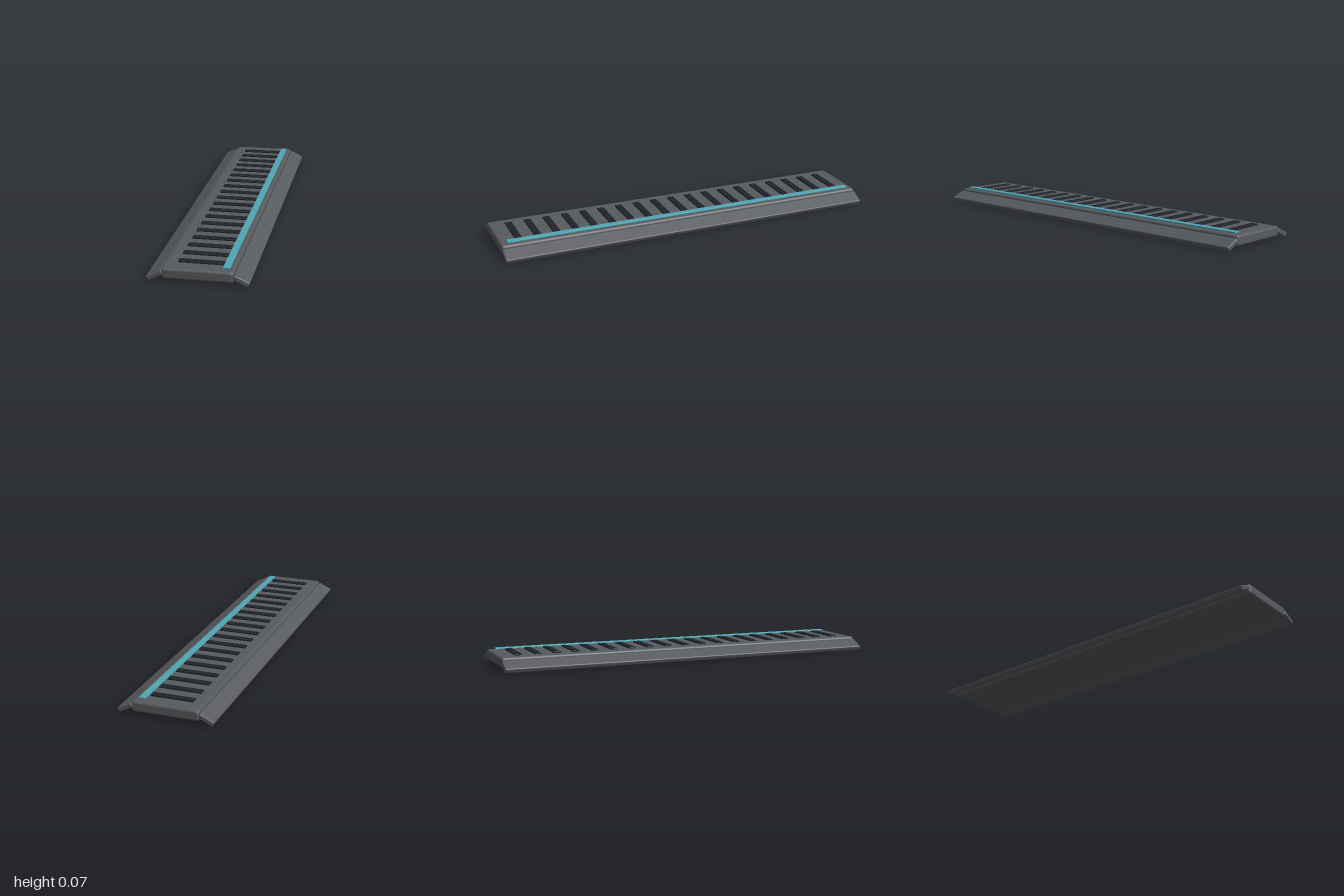
import * as THREE from 'three';
import { RoundedBoxGeometry } from 'three/addons/geometries/RoundedBoxGeometry.js';

export function createModel() {
  const model = new THREE.Group();
  model.name = 'rampPanel';

  const material = (name, color) => {
    const m = new THREE.MeshStandardMaterial({ color });
    m.name = name;
    return m;
  };
  const grey = material('dark grey metal', 0x585b5e);
  const black = material('near black rubber', 0x20222c);
  const teal = material('teal light', 0x4fa6b4);

  const addBar = (name, size, position, radius, mat, tilt = 0) => {
    const mesh = new THREE.Mesh(new RoundedBoxGeometry(...size, 2, radius), mat);
    mesh.name = name;
    mesh.position.set(...position);
    mesh.rotation.z = tilt;
    model.add(mesh);
  };

  // Main deck
  addBar('deck', [0.33, 0.052, 2], [0, 0.04, 0], 0.012, grey);

  // Sloping side skirts
  for (const side of [-1, 1]) {
    addBar(side > 0 ? 'leftSkirt' : 'rightSkirt', [0.08, 0.024, 2],
      [side * 0.199, 0.0275, 0], 0.006, grey, -side * THREE.MathUtils.degToRad(25));
  }

  // Row of cross treads
  for (let i = 0; i < 19; i++) {
    addBar('tread' + (i + 1), [0.214, 0.008, 0.036], [0, 0.069, -0.9 + i * 0.1], 0.002, black);
  }

  // Light strip along the left edge
  addBar('lightStrip', [0.033, 0.008, 1.93], [0.1265, 0.072, 0], 0.002, teal);

  return model;
}
